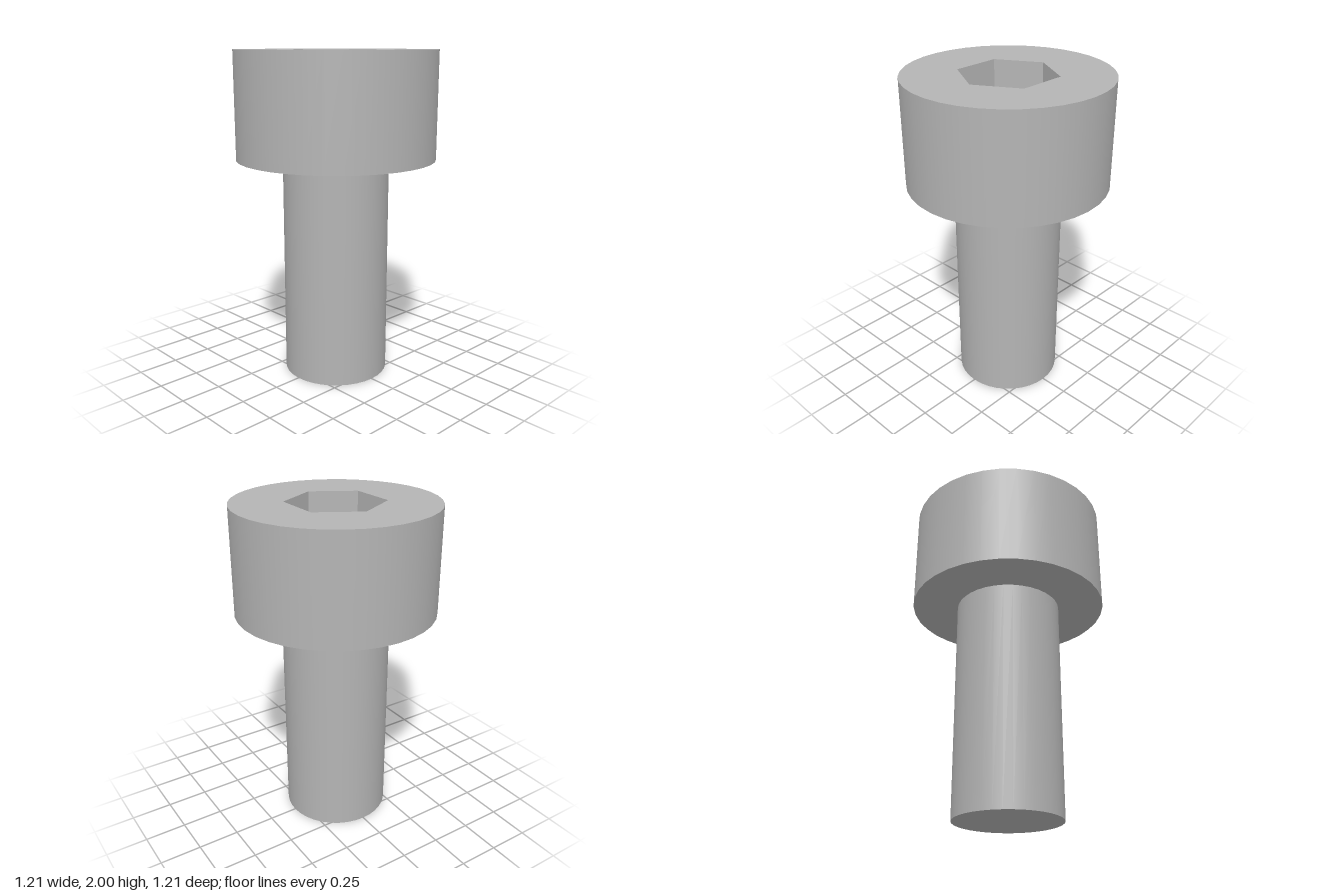
import * as THREE from 'three';
import { toCreasedNormals } from 'three/addons/utils/BufferGeometryUtils.js';

const SIDES = 36;
const HEIGHT = 2, HEAD_BASE = 1.355, SOCKET_FLOOR = 1.68;
const HEAD_R = 0.605, SHANK_R = 0.323, SOCKET_R = 0.294;

export function createModel() {
  const model = new THREE.Group();
  model.name = 'socketHeadScrew';
  const steel = new THREE.MeshStandardMaterial({ color: 0xb4b4b4 });
  steel.name = 'grey steel';

  const add = (name, geometry, y) => {
    const mesh = new THREE.Mesh(geometry, steel);
    mesh.name = name;
    mesh.position.y = y;
    model.add(mesh);
  };
  const tube = (radius, height, sides, start = 0) =>
    new THREE.CylinderGeometry(radius, radius, height, sides, 1, true, start);
  const ring = (inner, outer) => new THREE.RingGeometry(inner, outer, SIDES);

  // Plain shank with a flat tip
  add('shank', tube(SHANK_R, HEAD_BASE, SIDES), HEAD_BASE / 2);
  add('shankTip', new THREE.CircleGeometry(SHANK_R, SIDES).rotateX(Math.PI / 2), 0);

  // Cylindrical head with its bearing face
  add('headSide', tube(HEAD_R, HEIGHT - HEAD_BASE, SIDES), (HEIGHT + HEAD_BASE) / 2);
  add('headUnderside', ring(SHANK_R, HEAD_R).rotateX(Math.PI / 2), HEAD_BASE);

  // Top face with a hexagonal opening, corners on the x axis
  const circlePoints = (radius, count) => Array.from({ length: count }, (_, i) => {
    const a = (i / count) * Math.PI * 2;
    return new THREE.Vector2(radius * Math.cos(a), radius * Math.sin(a));
  });
  const face = new THREE.Shape(circlePoints(HEAD_R, SIDES));
  face.holes.push(new THREE.Path(circlePoints(SOCKET_R, 6)));
  add('headTop', new THREE.ShapeGeometry(face).rotateX(-Math.PI / 2), HEIGHT);

  // Hex socket: mirrored tube so its walls face inward, plus a floor
  const walls = tube(SOCKET_R, HEIGHT - SOCKET_FLOOR, 6, Math.PI / 2).scale(-1, 1, 1);
  add('socketWalls', toCreasedNormals(walls, 0.5), (HEIGHT + SOCKET_FLOOR) / 2);
  add('socketFloor', new THREE.CircleGeometry(SOCKET_R, 6).rotateX(-Math.PI / 2), SOCKET_FLOOR);

  return model;
}
